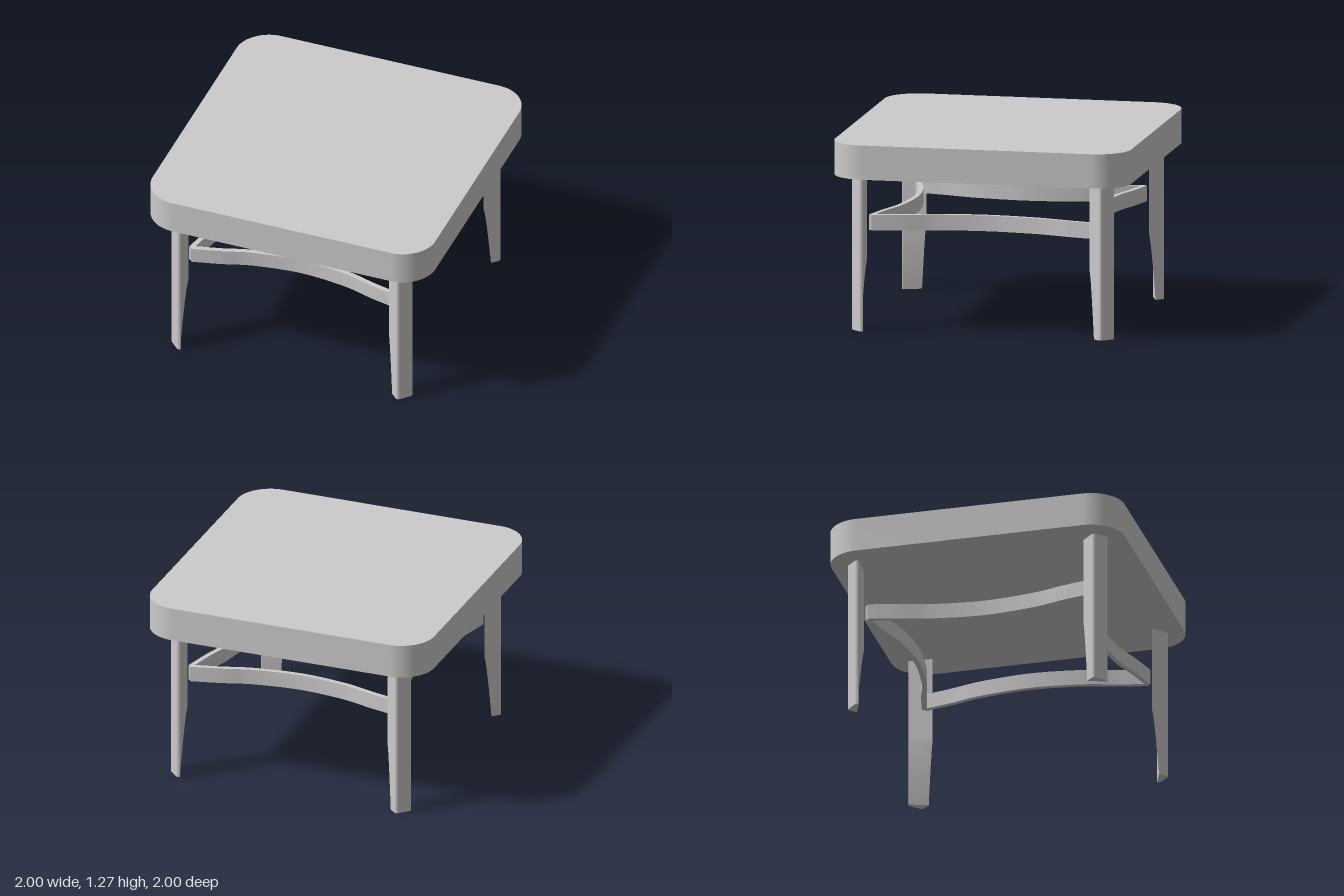
import * as THREE from 'three';
import { toCreasedNormals } from 'three/addons/utils/BufferGeometryUtils.js';

const material = new THREE.MeshStandardMaterial({ color: 0xcccccc });
const SEAT_BOTTOM = 1.045, SEAT_TOP = 1.275;
const LEG_X = 0.77, LEG_Z = 0.805;

// Extrudes a plan shape (shape y becomes z) between two heights
function slab(shape, y0, y1, steps = 1) {
  const g = new THREE.ExtrudeGeometry(shape, { depth: y1 - y0, steps, bevelEnabled: false, curveSegments: 16 });
  return g.rotateX(Math.PI / 2).translate(0, y1, 0);
}

function named(name, geometry) {
  const mesh = new THREE.Mesh(toCreasedNormals(geometry, 0.5), material);
  mesh.name = name;
  return mesh;
}

// Square top with rounded corners
function seatGeometry() {
  const r = 0.23, c = 1 - r, s = new THREE.Shape();
  [[c, c], [-c, c], [-c, -c], [c, -c]].forEach(([x, y], i) =>
    s.absarc(x, y, r, i * Math.PI / 2, (i + 1) * Math.PI / 2, false));
  return slab(s, SEAT_BOTTOM, SEAT_TOP);
}

// Leg: local +x is the outer face with softened edges, the inner face tapers to the foot
function legGeometry() {
  const outer = 0.065, inner = -0.062, w = 0.06, r = 0.02;
  const s = new THREE.Shape();
  s.moveTo(inner, -w);
  s.absarc(outer - r, -w + r, r, -Math.PI / 2, 0, false);
  s.absarc(outer - r, w - r, r, 0, Math.PI / 2, false);
  s.lineTo(inner, w);
  const g = slab(s, 0, 1.05, 42);
  const p = g.attributes.position;
  for (let i = 0; i < p.count; i++) {
    const t = Math.max(0, 1 - p.getY(i) / 0.45);
    if (p.getX(i) < inner + 0.001) p.setX(i, inner + 0.052 * Math.pow(t, 0.75));
  }
  return g;
}

// Stretcher: flat rail along x that bows inward (towards -z) at its middle
function stretcherGeometry(half, offset) {
  const bow = [[-1, 0], [-0.74, 0.045], [-0.44, 0.107], [0, 0.142], [0.44, 0.107], [0.74, 0.045], [1, 0]];
  const curve = new THREE.SplineCurve(bow.map(([t, d]) => new THREE.Vector2(t * half, offset - d)));
  const near = [], far = [], n = 40, thick = 0.034;
  for (let i = 0; i <= n; i++) {
    const p = curve.getPoint(i / n), d = curve.getTangent(i / n);
    const side = new THREE.Vector2(-d.y, d.x).multiplyScalar(thick / 2);
    near.push(p.clone().sub(side));
    far.unshift(p.clone().add(side));
  }
  return slab(new THREE.Shape([...near, ...far]), 0.66, 0.765);
}

export function createModel() {
  const model = new THREE.Group();
  model.name = 'stool';
  model.add(named('seat', seatGeometry()));

  // Four legs turned to face their corners
  const legGeo = legGeometry();
  for (const sx of [1, -1]) for (const sz of [1, -1]) {
    const leg = named(`${sz > 0 ? 'front' : 'back'}${sx > 0 ? 'Left' : 'Right'}Leg`, legGeo);
    leg.position.set(sx * LEG_X, 0, sz * LEG_Z);
    leg.rotation.y = -Math.atan2(sz, sx);
    model.add(leg);
  }

  // Four stretchers meeting at the inner faces of the legs
  const ex = LEG_X - 0.04, ez = LEG_Z - 0.04;
  ['front', 'left', 'back', 'right'].forEach((name, i) => {
    const rail = named(`${name}Stretcher`, i % 2 ? stretcherGeometry(ez, ex) : stretcherGeometry(ex, ez));
    rail.rotation.y = i * Math.PI / 2;
    model.add(rail);
  });
  return model;
}
